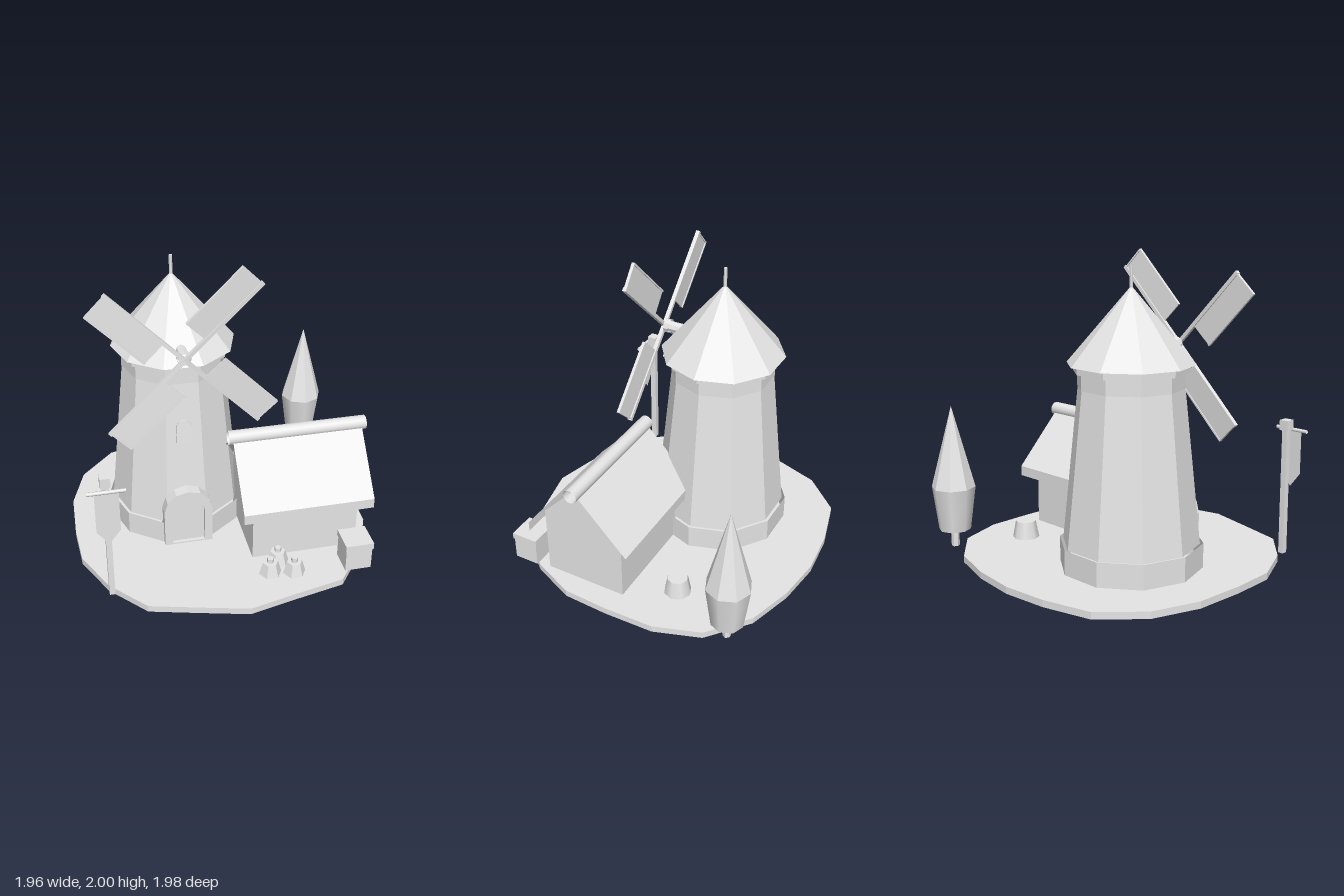
import * as THREE from 'three';

export function createModel() {
  const grey = new THREE.MeshStandardMaterial({ color: 0xe5e5e5, side: THREE.DoubleSide });
  grey.name = 'plain grey';
  const root = new THREE.Group();
  root.name = 'windmillScene';

  const add = (name, geo, x = 0, y = 0, z = 0, parent = root) => {
    const m = new THREE.Mesh(geo, grey);
    m.name = name;
    m.position.set(x, y, z);
    parent.add(m);
    return m;
  };
  const group = (name, x = 0, y = 0, z = 0, parent = root) => {
    const g = new THREE.Group();
    g.name = name;
    g.position.set(x, y, z);
    parent.add(g);
    return g;
  };
  const box = (name, x0, x1, y0, y1, z0, z1, parent = root) =>
    add(name, new THREE.BoxGeometry(x1 - x0, y1 - y0, z1 - z0),
      (x0 + x1) / 2, (y0 + y1) / 2, (z0 + z1) / 2, parent);
  const faceted = (geo) => {
    const g = geo.toNonIndexed();
    g.computeVertexNormals();
    return g;
  };
  // Upright tapered column with corners on the x axis
  const column = (rTop, rBottom, h, sides, open = false) =>
    new THREE.CylinderGeometry(rTop, rBottom, h, sides, 1, open, Math.PI / 2);
  const prism = (name, rTop, rBottom, y0, y1, sides, x, z, parent = root, open = false) =>
    add(name, faceted(column(rTop, rBottom, y1 - y0, sides, open)), x, (y0 + y1) / 2, z, parent);
  const smoothPrism = (name, rTop, rBottom, y0, y1, sides, x, z) =>
    add(name, column(rTop, rBottom, y1 - y0, sides), x, (y0 + y1) / 2, z);
  const extrude = (shape, depth) => new THREE.ExtrudeGeometry(shape, { depth, bevelEnabled: false });

  // Irregular ground slab
  const rim = [[0, -0.995], [0.305, -0.955], [0.61, -0.86], [0.87, -0.64], [0.975, -0.337], [0.982, 0],
    [0.968, 0.3], [0.845, 0.59], [0.637, 0.85], [0.32, 0.916], [0, 0.988], [-0.31, 0.91], [-0.616, 0.83],
    [-0.83, 0.59], [-0.968, 0.295], [-0.982, 0], [-0.968, -0.337], [-0.863, -0.647], [-0.63, -0.89], [-0.305, -0.97]];
  const ground = extrude(new THREE.Shape(rim.map(([x, z]) => new THREE.Vector2(x, -z))), 0.045);
  add('ground', ground.rotateX(-Math.PI / 2));

  // Ten-sided mill tower; plinth and neck are open bands around the body
  const TX = -0.252, TZ = -0.186;
  const tower = group('tower', TX, 0, TZ);
  prism('plinth', 0.46, 0.46, 0.045, 0.205, 10, 0, 0, tower, true);
  prism('towerBody', 0.325, 0.438, 0.2, 1.29, 10, 0, 0, tower);
  prism('towerNeck', 0.338, 0.338, 1.19, 1.29, 10, 0, 0, tower, true);
  prism('cornice', 0.366, 0.366, 1.29, 1.336, 10, 0, 0, tower);
  prism('towerRoof', 0, 0.404, 1.336, 1.81, 10, 0, 0, tower);
  prism('finial', 0.011, 0.011, 1.79, 1.922, 6, 0, 0, tower);

  // Arched outline: straight jambs with a faceted round head
  const archPoints = (half, y0, spring, top, steps) => {
    const pts = [new THREE.Vector2(-half, y0), new THREE.Vector2(half, y0)];
    for (let i = 0; i <= steps; i++) {
      const a = Math.PI * i / steps;
      pts.push(new THREE.Vector2(Math.cos(a) * half, spring + Math.sin(a) * (top - spring)));
    }
    return pts;
  };
  const surround = new THREE.Shape(archPoints(0.16, 0.05, 0.31, 0.462, 6));
  surround.holes.push(new THREE.Path(archPoints(0.108, 0.06, 0.3, 0.41, 8)));
  add('doorSurround', extrude(surround, 0.135), TX, 0, 0.15);
  add('door', extrude(new THREE.Shape(archPoints(0.112, 0.05, 0.3, 0.414, 8)), 0.06), TX, 0, 0.2);
  const windowPlate = add('window',
    extrude(new THREE.Shape(archPoints(0.05, -0.08, 0.03, 0.08, 8)), 0.02), TX, 0.86, 0.163);
  windowPlate.rotation.x = -0.1;

  // Sail axle, hub and four slightly pitched sails
  const rotor = group('rotor', TX, 1.415, 0.246);
  const rod = (name, r, z0, z1) => {
    const g = new THREE.CylinderGeometry(r, r, z1 - z0, 8, 1, true).rotateX(Math.PI / 2);
    add(name, faceted(g), 0, 0, (z0 + z1) / 2, rotor);
  };
  rod('axle', 0.036, -0.3, -0.012);
  rod('hub', 0.046, -0.048, -0.012);
  for (let i = 0; i < 4; i++) {
    const sail = group('sail', 0, 0, 0, rotor);
    sail.rotation.order = 'ZXY';
    sail.rotation.z = THREE.MathUtils.degToRad(44.4 + i * 90);
    sail.rotation.x = 0.06;
    box('spar', 0, 0.668, -0.012, 0.012, -0.013, 0.013, sail);
    box('sailPanel', 0.18, 0.655, 0, 0.165, -0.004, 0.004, sail);
    box('sailEdge', 0.18, 0.662, 0.162, 0.174, -0.01, 0.01, sail);
    box('sailTip', 0.652, 0.662, 0, 0.174, -0.01, 0.01, sail);
  }

  // Cottage: gabled walls, thin folded roof and open ridge roll
  const house = group('house', 0, 0, 0.24);
  const gable = new THREE.Shape([[-0.28, 0.045], [0.28, 0.045], [0.28, 0.522], [0, 0.806], [-0.28, 0.522]]
    .map(([z, y]) => new THREE.Vector2(z, y)));
  add('houseWalls', extrude(gable, 0.7).rotateY(-Math.PI / 2), 0.825, 0, 0, house);
  const fold = [[0.355, 0.382], [0.355, 0.45], [0, 0.835], [-0.365, 0.45], [-0.365, 0.382]];
  const pos = [];
  for (let i = 0; i < fold.length - 1; i++) {
    const [za, ya] = fold[i], [zb, yb] = fold[i + 1];
    pos.push(0.047, ya, za, 0.908, ya, za, 0.908, yb, zb, 0.047, ya, za, 0.908, yb, zb, 0.047, yb, zb);
  }
  const roof = new THREE.BufferGeometry();
  roof.setAttribute('position', new THREE.Float32BufferAttribute(pos, 3));
  roof.computeVertexNormals();
  add('houseRoof', roof, 0, 0, 0, house);
  const roll = new THREE.CylinderGeometry(0.047, 0.047, 0.916, 16, 1, true).rotateZ(Math.PI / 2);
  add('ridgeRoll', roll, 0.479, 0.813, -0.003, house);

  // Crate beside the cottage
  box('crate', 0.677, 0.849, 0.045, 0.205, 0.607, 0.775);
  box('crateLid', 0.67, 0.855, 0.2, 0.243, 0.6, 0.782);

  // Tied sacks
  for (const [x, z] of [[0.2, 0.685], [0.353, 0.71], [0.275, 0.59]]) {
    prism('sack', 0.05, 0.074, 0.045, 0.13, 6, x, z);
    prism('sackKnot', 0.023, 0.023, 0.125, 0.16, 5, x, z);
  }

  // Stump behind the cottage
  smoothPrism('stump', 0.068, 0.09, 0.045, 0.16, 8, 0.62, -0.328);

  // Tree
  prism('treeTrunk', 0.027, 0.027, 0.045, 0.2, 6, 0.815, -0.777);
  smoothPrism('treeLower', 0.145, 0.106, 0.163, 0.455, 8, 0.815, -0.777);
  prism('treeTop', 0, 0.145, 0.455, 1.0, 8, 0.815, -0.777);

  // Banner post
  const post = group('bannerPost', -0.815, 0, 0.66);
  box('post', -0.018, 0.018, 0.045, 0.88, -0.02, 0.02, post);
  box('postCap', -0.031, 0.031, 0.87, 0.937, -0.032, 0.032, post);
  const bar = new THREE.CylinderGeometry(0.012, 0.012, 0.232, 8, 1, true).rotateZ(Math.PI / 2);
  add('crossbar', bar, 0, 0.865, 0.062, post);
  const cloth = new THREE.Shape([[-0.073, 0.86], [-0.073, 0.58], [0, 0.485], [0.073, 0.58], [0.073, 0.86]]
    .map(([x, y]) => new THREE.Vector2(x, y)));
  add('banner', new THREE.ShapeGeometry(cloth), 0, 0, 0.062, post);

  return root;
}
